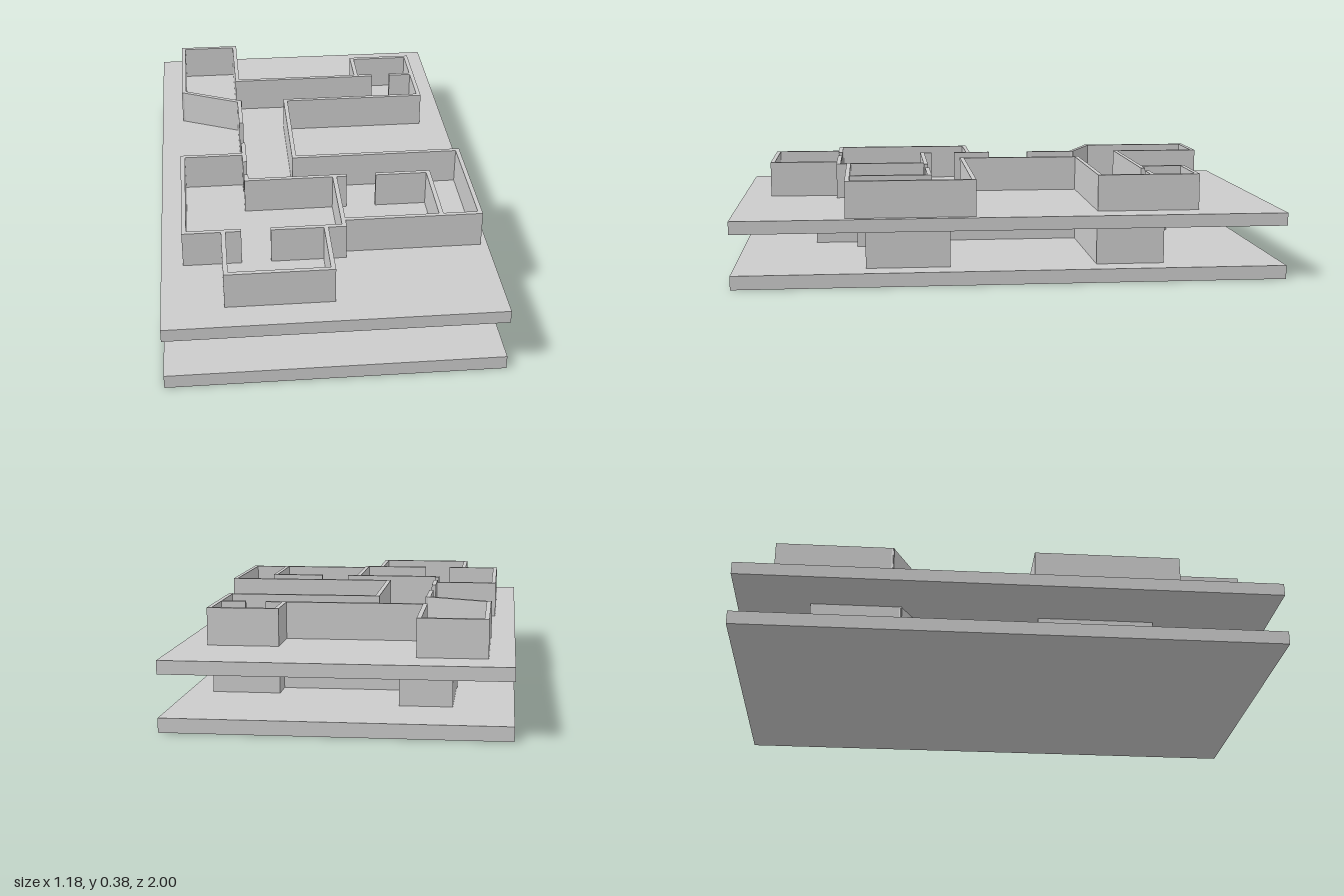
import * as THREE from 'three';

const WALL = 0.016;
const material = new THREE.MeshStandardMaterial({ color: 0xcccccc, flatShading: true });

// Floor slab between two heights
function slab(name, y0, y1) {
  const mesh = new THREE.Mesh(new THREE.BoxGeometry(1.176, y1 - y0, 2), material);
  mesh.name = name;
  mesh.position.y = (y0 + y1) / 2;
  return mesh;
}

// Walls of one storey: each run is a centre line of [x, z] points
function walls(name, runs, y0, y1) {
  const group = new THREE.Group();
  group.name = name;
  for (const run of runs) {
    for (let i = 0; i < run.length - 1; i++) {
      const [ax, az] = run[i], [bx, bz] = run[i + 1];
      const dx = bx - ax, dz = bz - az;
      const length = Math.hypot(dx, dz) + WALL;
      const mesh = new THREE.Mesh(new THREE.BoxGeometry(length, y1 - y0, WALL), material);
      mesh.name = 'wall';
      mesh.position.set((ax + bx) / 2, (y0 + y1) / 2, (az + bz) / 2);
      mesh.rotation.y = -Math.atan2(dz, dx);
      group.add(mesh);
    }
  }
  return group;
}

const upperPlan = [
  // back room with slanted corner, and corridor back wall
  [[-0.267, -0.155], [-0.267, -0.333], [-0.492, -0.435], [-0.492, -0.852], [-0.267, -0.852], [-0.267, -0.522], [0.3, -0.522]],
  // small back room, corridor side and side room
  [[0.24, -0.522], [0.24, -0.688], [0.478, -0.688], [0.478, -0.328], [-0.077, -0.328], [-0.077, 0.138],
    [0.555, 0.138], [0.555, 0.588], [0.062, 0.588]],
  [[0.39, -0.522], [0.478, -0.522]],
  // main room with door gaps
  [[-0.267, 0.02], [-0.267, 0.15]],
  [[-0.267, 0.1], [-0.502, 0.1], [-0.502, 0.627], [-0.31, 0.627]],
  [[-0.19, 0.627], [0.062, 0.627], [0.062, 0.29]],
  [[-0.267, 0.26], [-0.267, 0.29], [0.1, 0.29]],
  // closet in the side room
  [[0.225, 0.29], [0.415, 0.29], [0.415, 0.588]],
  // front room
  [[-0.365, 0.627], [-0.365, 0.884], [-0.003, 0.884], [-0.003, 0.627]],
];

const lowerPlan = [
  // back room and corridor back wall
  [[-0.2, -0.13], [-0.2, -0.31], [-0.369, -0.4], [-0.369, -0.722], [-0.2, -0.722], [-0.2, -0.46], [0.32, -0.46]],
  // small back room, corridor side and side room
  [[0.26, -0.46], [0.26, -0.557], [0.489, -0.557], [0.489, -0.323], [-0.04, -0.323], [-0.04, 0.228],
    [0.489, 0.228], [0.489, 0.517], [0.062, 0.517]],
  [[0.41, -0.46], [0.489, -0.46]],
  // main room with door gaps
  [[-0.2, 0.04], [-0.2, 0.17]],
  [[-0.2, 0.13], [-0.319, 0.13], [-0.319, 0.552], [-0.22, 0.552]],
  [[-0.08, 0.552], [0.062, 0.552], [0.062, 0.32]],
  [[-0.2, 0.29], [-0.2, 0.32], [0.1, 0.32]],
  // closet in the side room
  [[0.22, 0.32], [0.38, 0.32], [0.38, 0.517]],
  // front room
  [[-0.247, 0.552], [-0.247, 0.712], [-0.038, 0.712], [-0.038, 0.552]],
];

export function createModel() {
  const model = new THREE.Group();
  model.name = 'twoStoreyFloorPlan';
  model.add(
    slab('lowerFloor', 0, 0.05),
    walls('lowerWalls', lowerPlan, 0.05, 0.197),
    slab('upperFloor', 0.197, 0.244),
    walls('upperWalls', upperPlan, 0.244, 0.377),
  );
  return model;
}
